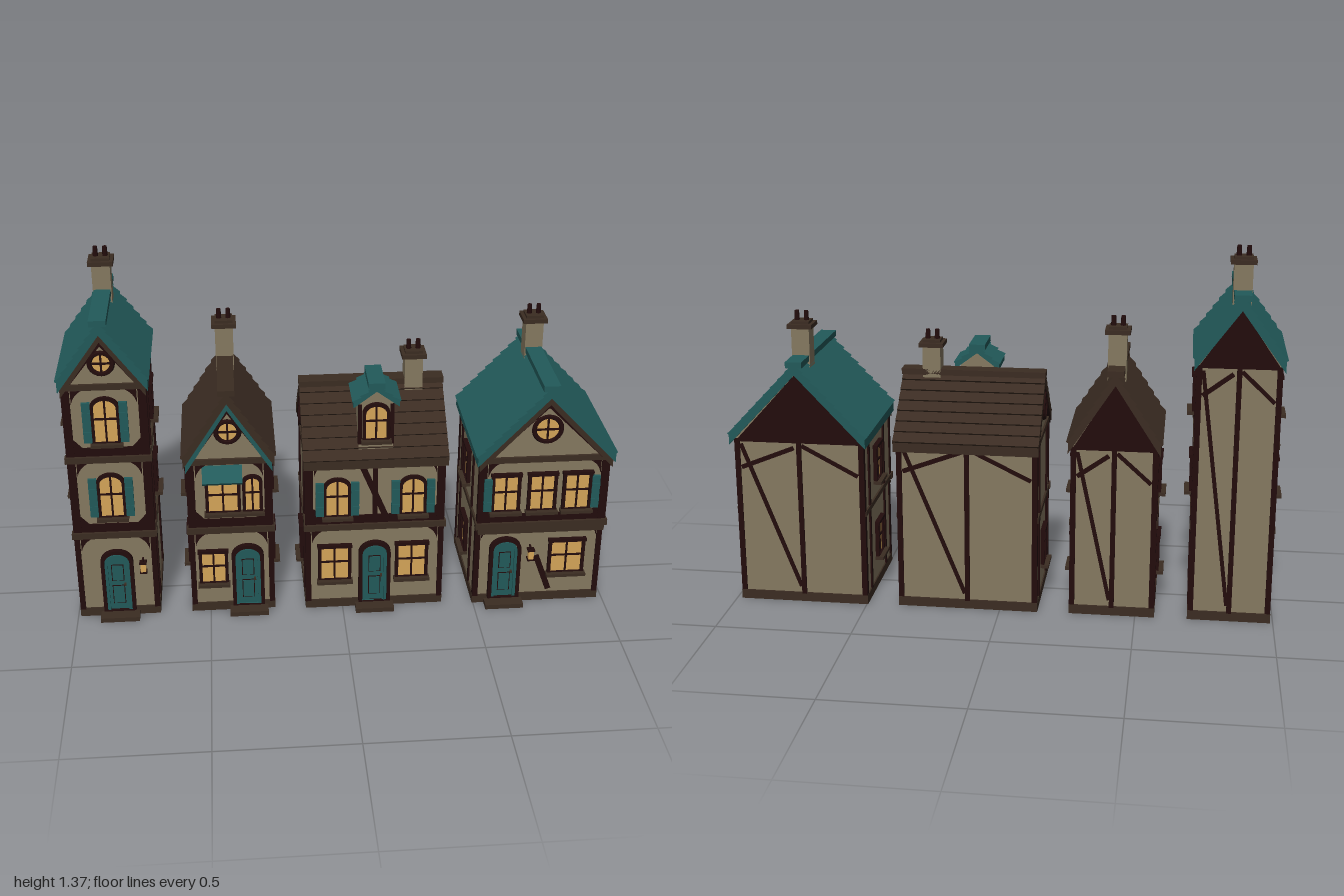
import * as THREE from 'three';

const mat = (name, color) => {
  const m = new THREE.MeshStandardMaterial({ color, flatShading: true });
  m.name = name;
  return m;
};
const plaster = mat('plaster', 0x857960), teal = mat('teal', 0x225a5a), brown = mat('brown', 0x3b2c22),
  dark = mat('dark timber', 0x220c0c), amber = mat('amber glass', 0xd4a558);

function add(parent, name, geo, m, x = 0, y = 0, z = 0) {
  const mesh = new THREE.Mesh(geo, m);
  mesh.name = name;
  mesh.position.set(x, y, z);
  parent.add(mesh);
  return mesh;
}
const box = (p, name, m, w, h, d, x, y, z) => add(p, name, new THREE.BoxGeometry(w, h, d), m, x, y, z);
const extrude = (shape, depth) => new THREE.ExtrudeGeometry(shape, { depth, bevelEnabled: false, curveSegments: 8 });
function group(parent, name, x = 0, y = 0, z = 0, ry = 0) {
  const g = new THREE.Group();
  g.name = name;
  g.position.set(x, y, z);
  g.rotation.y = ry;
  parent.add(g);
  return g;
}
// straight timber between two points of a wall plane
function beam(p, name, m, x1, y1, x2, y2, z, w = 0.016, d = 0.012) {
  const b = box(p, name, m, w, Math.hypot(x2 - x1, y2 - y1), d, (x1 + x2) / 2, (y1 + y2) / 2, z);
  b.rotation.z = -Math.atan2(x2 - x1, y2 - y1);
}
// opening outline standing on y = 0, with a flat or arched top
function outline(w, h, arched, Type = THREE.Shape, y0 = 0) {
  const s = new Type(), r = w / 2;
  s.moveTo(-r, y0);
  s.lineTo(r, y0);
  if (arched) {
    s.lineTo(r, h - r * 0.8);
    s.absellipse(0, h - r * 0.8, r, r * 0.8, 0, Math.PI, false);
  } else {
    s.lineTo(r, h);
    s.lineTo(-r, h);
  }
  s.lineTo(-r, y0);
  return s;
}
function ring(w, h, t, arched) {
  const s = outline(w + 2 * t, h + t, arched, THREE.Shape, -0.004);
  s.holes.push(outline(w, h, arched, THREE.Path));
  return s;
}

// window on a wall facing +z; shutters lists the sides (-1, 1) that carry one
function addWindow(p, x, y, z, w, h, arched = false, shutters = []) {
  const g = group(p, 'window', x, y, z);
  add(g, 'windowGlass', extrude(outline(w, h, arched), 0.005), amber);
  add(g, 'windowFrame', extrude(ring(w, h, 0.012, arched), 0.014), dark);
  box(g, 'mullion', dark, 0.007, h, 0.01, 0, h / 2, 0.004);
  box(g, 'transom', dark, w, 0.007, 0.01, 0, h * 0.55, 0.004);
  box(g, 'sill', brown, w + 0.035, 0.012, 0.035, 0, -0.008, 0.014);
  if (!arched) box(g, 'lintel', dark, w + 0.03, 0.012, 0.02, 0, h + 0.008, 0.008);
  for (const s of shutters) {
    box(g, 'shutter', teal, 0.03, h * 0.95, 0.012, s * (w / 2 + 0.025), h * 0.48, 0.01);
    for (const k of [0.25, 0.7]) box(g, 'shutterBatten', teal, 0.03, 0.01, 0.018, s * (w / 2 + 0.025), h * k, 0.01);
  }
}
function addRoundWindow(p, x, y, z, r) {
  const g = group(p, 'roundWindow', x, y, z);
  add(g, 'roundGlass', new THREE.CircleGeometry(r, 20), amber, 0, 0, 0.004);
  add(g, 'roundFrame', new THREE.TorusGeometry(r, 0.009, 6, 20), dark, 0, 0, 0.005);
  box(g, 'mullion', dark, 0.007, 2 * r, 0.008, 0, 0, 0.005);
  box(g, 'transom', dark, 2 * r, 0.007, 0.008, 0, 0, 0.005);
}
function addDoor(p, x, z) {
  const g = group(p, 'door', x, 0.03, z);
  add(g, 'doorSurround', extrude(ring(0.092, 0.245, 0.014, true), 0.02), dark);
  add(g, 'doorFrame', extrude(ring(0.07, 0.228, 0.011, true), 0.016), teal);
  add(g, 'doorLeaf', extrude(outline(0.07, 0.228, true), 0.008), teal);
  for (const [y, h] of [[0.065, 0.08], [0.16, 0.07]]) {
    box(g, 'panelRecess', dark, 0.046, h, 0.004, 0, y, 0.008);
    box(g, 'doorPanel', teal, 0.04, h - 0.006, 0.006, 0, y, 0.009);
  }
  box(g, 'doorKnob', brown, 0.008, 0.008, 0.012, 0.025, 0.11, 0.012);
  box(g, 'doorStep', brown, 0.145, 0.018, 0.06, 0, -0.021, 0.025);
}
function addLantern(p, x, y, z) {
  box(p, 'lanternGlass', amber, 0.02, 0.034, 0.02, x, y, z + 0.024);
  for (const s of [-1, 1]) box(p, 'lanternCap', dark, 0.027, 0.006, 0.027, x, y + s * 0.02, z + 0.024);
  box(p, 'lanternBracket', dark, 0.006, 0.006, 0.03, x, y + 0.026, z + 0.012);
}
// curved timber filling an upper (s = side) wall corner
function addBrace(p, x, y, z, s, size = 0.06) {
  const c = new THREE.Shape();
  c.moveTo(0, 0);
  c.lineTo(0, -size);
  c.quadraticCurveTo(0.2 * size, -0.2 * size, size, 0);
  const b = add(p, 'curvedBrace', extrude(c, 0.01), dark, x, y, z - 0.002);
  if (s > 0) {
    b.rotation.y = Math.PI;
    b.position.z = z + 0.008;
  }
}

// saw-stepped courses on top, straight underside
function roofShape(hw, yr, ye, t, n) {
  const len = Math.hypot(hw, yr - ye), lift = n > 1 ? 0.008 : 0;
  const nx = (yr - ye) / len * lift, ny = hw / len * lift, right = [];
  for (let i = 1; i <= n; i++) {
    const x = hw * i / n, y = yr + (ye - yr) * i / n;
    right.push([x + nx, y + ny], [x, y]);
  }
  right.push([hw, ye - t]);
  const left = right.map(([x, y]) => [-x, y]).reverse();
  const pts = [[0, yr], ...left.reverse(), [0, yr - t], ...right.reverse()];
  return new THREE.Shape(pts.map(([x, y]) => new THREE.Vector2(x, y)));
}
function addRoof(p, hw, yr, ye, t, length, n, m) {
  add(p, 'roofCourses', extrude(roofShape(hw, yr, ye, t, n), length), m, 0, 0, -length / 2);
  box(p, 'ridgeCap', m, 0.06, 0.022, length + 0.004, 0, yr + 0.002, 0);
}
function triangle(hw, y0, y1) {
  return new THREE.Shape([[-hw, y0], [hw, y0], [0, y1]].map(([x, y]) => new THREE.Vector2(x, y)));
}
function addChimney(p, x, z, y0, capY) {
  const g = group(p, 'chimney', x, 0, z);
  box(g, 'chimneyStack', plaster, 0.066, capY - y0, 0.066, 0, (capY + y0) / 2, 0);
  box(g, 'chimneyCap', brown, 0.09, 0.016, 0.09, 0, capY, 0);
  box(g, 'chimneyCrown', brown, 0.065, 0.012, 0.065, 0, capY + 0.012, 0);
  for (const s of [-1, 1]) add(g, 'chimneyPot', new THREE.CylinderGeometry(0.008, 0.01, 0.04, 8), dark, s * 0.017, capY + 0.033, 0);
}

function buildHouse(root, o) {
  const g = group(root, o.name, o.x, 0, o.z), { w, d, hw, yr, ye, t, jetty = 0 } = o;
  const half = (o.sideways ? d : w) / 2, slope = (yr - ye) / hw;
  const top = yr - t - slope * half, f = d / 2, fu = f + jetty;
  const levels = [0.03, ...o.belts, top];

  // walls, foundation and front timbers, storey by storey
  box(g, 'foundation', brown, w + 0.01, 0.035, d + 0.01, 0, 0.0175, 0);
  for (let i = 0; i + 1 < levels.length; i++) {
    const y0 = levels[i], y1 = levels[i + 1], h = y1 - y0, j = i ? jetty : 0, ym = (y0 + y1) / 2;
    box(g, 'storey', plaster, w, h, d + j, 0, ym, j / 2);
    for (const s of [-1, 1]) {
      const pw = i ? 0.03 : 0.02;
      box(g, 'frontCornerPost', dark, pw, h, 0.024, s * (w / 2 - pw / 2 + 0.004), ym, f + j - 0.006);
      box(g, 'backCornerPost', dark, 0.02, h, 0.024, s * (w / 2 - 0.006), ym, -f + 0.008);
      for (const z of [0.115, -0.135]) box(g, 'sidePost', dark, 0.012, h, 0.018, s * w / 2, ym, z);
      addBrace(g, s * (w / 2 - pw), y1 - 0.008, f + j, s);
      if (i) beam(g, 'footBrace', dark, s * (w / 2 - 0.02), y0 + 0.07, s * (w / 2 - 0.075), y0 + 0.01, f + j, 0.02, 0.01);
    }
    if (i) {
      box(g, 'floorBelt', brown, w + 0.014, 0.02, d + j + 0.008, 0, y0, j / 2 + 0.006);
      box(g, 'frontBelt', brown, w + 0.02, 0.024, 0.03, 0, y0, f + j);
      box(g, 'sillBand', dark, w, 0.035, 0.01, 0, y0 + 0.028, f + j);
    }
  }
  box(g, 'frontTopBeam', brown, w + 0.01, 0.022, 0.02, 0, top - 0.004, fu);

  // back framing
  box(g, 'backMiddlePost', dark, 0.018, top - 0.03, 0.012, 0, top / 2 + 0.015, -f);
  beam(g, 'backBrace', dark, w / 2 - 0.02, top - 0.02, 0.01, 0.06, -f, 0.014);
  beam(g, 'backBrace', dark, w / 2 - 0.02, top - 0.11, 0.02, top - 0.03, -f, 0.016);
  beam(g, 'backBrace', dark, -w / 2 + 0.02, top - 0.13, -0.01, top - 0.02, -f, 0.014);

  // roof and gables
  const r = group(g, 'roof', 0, 0, 0, o.sideways ? Math.PI / 2 : 0);
  const wallLen = o.sideways ? w : d + jetty, zc = jetty / 2;
  add(r, 'gable', extrude(triangle(half, top, yr - t), wallLen), plaster, 0, 0, o.sideways ? -w / 2 : -f);
  const courses = group(r, 'roofCovering', 0, 0, o.sideways ? 0 : o.roofShift || 0);
  addRoof(courses, hw, yr, ye, t, o.roofLen, o.courses, o.roofMat);
  if (o.sideways) {
    for (const a of [0, Math.PI]) {
      const e = group(r, 'sideGable', 0, 0, 0, a);
      addRoundWindow(e, 0, 0.735, w / 2, 0.045);
      add(e, 'bargeBoard', extrude(roofShape(half, yr - t, yr - t - slope * half, 0.03, 1), 0.008), dark, 0, 0, w / 2);
      box(e, 'gableBeam', brown, d, 0.02, 0.014, 0, top, w / 2);
    }
  } else {
    add(r, 'backGable', extrude(triangle(half, top - 0.01, yr - t), 0.008), dark, 0, 0, -f - 0.006);
    const zEnd = o.roofLen / 2 + (o.roofShift || 0);
    add(r, 'bargeBoard', extrude(roofShape(hw - 0.008, yr - t + 0.008, ye - t + 0.015, 0.036, 1), 0.014), o.bargeMat, 0, 0, zEnd - 0.018);
    add(r, 'gableTrim', extrude(roofShape(half, yr - t - 0.025, top - 0.01, 0.022, 1), 0.01), dark, 0, 0, fu);
    addRoundWindow(r, 0, o.round[0], fu, o.round[1]);
  }
  addChimney(g, ...o.chimney);

  // openings
  addDoor(g, o.door, f);
  for (const [x, y, ww, h, arched, shutters] of o.windows) addWindow(g, x, y, y > 0.35 ? fu : f, ww, h, arched, shutters);
  for (const s of [-1, 1]) {
    const side = group(g, 'sideWindows', s * w / 2, 0, 0, s * Math.PI / 2);
    for (const y of o.sideY) addWindow(side, 0, y, 0, 0.075, 0.125);
  }
  if (o.lantern !== undefined) addLantern(g, o.lantern, 0.22, f);
  return g;
}

export function createModel() {
  const root = new THREE.Group();
  root.name = 'houseRow';

  buildHouse(root, {
    name: 'tallHouse', x: -0.84, z: -0.02, w: 0.29, d: 0.39, hw: 0.157, yr: 1.2, ye: 0.985, t: 0.042,
    belts: [0.355, 0.67], roofLen: 0.44, courses: 7, roofMat: teal, bargeMat: brown, round: [1.045, 0.04],
    chimney: [0, -0.1, 1.08, 1.312], door: 0, lantern: 0.097, sideY: [0.445, 0.75],
    windows: [[0, 0.435, 0.08, 0.165, true, [-1, 1]], [0, 0.74, 0.08, 0.165, true, [-1, 1]]],
  });

  const narrow = buildHouse(root, {
    name: 'narrowHouse', x: -0.413, z: -0.022, w: 0.305, d: 0.39, hw: 0.165, yr: 0.92, ye: 0.665, t: 0.04,
    belts: [0.355], roofLen: 0.445, courses: 7, roofMat: brown, bargeMat: teal, round: [0.76, 0.042],
    chimney: [0, -0.108, 0.8, 1.055], door: 0.058, sideY: [0.125, 0.435],
    windows: [[-0.07, 0.13, 0.085, 0.125], [-0.025, 0.435, 0.105, 0.125], [0.083, 0.435, 0.05, 0.135, true]],
  });
  // sloping canopy over the upper window
  const canopy = box(narrow, 'canopy', teal, 0.145, 0.012, 0.075, -0.025, 0.597, 0.222);
  canopy.rotation.x = 0.6;

  const wide = buildHouse(root, {
    name: 'wideHouse', x: 0.12, z: -0.018, w: 0.51, d: 0.41, hw: 0.237, yr: 0.855, ye: 0.645, t: 0.035,
    sideways: true, belts: [0.355], roofLen: 0.53, courses: 7, roofMat: brown,
    chimney: [0.155, 0.003, 0.78, 0.96], door: 0, sideY: [0.125],
    windows: [[-0.15, 0.13, 0.1, 0.135], [0.14, 0.13, 0.1, 0.135],
      [-0.14, 0.405, 0.08, 0.145, true, [-1, 1]], [0.14, 0.405, 0.08, 0.145, true, [-1, 1]]],
  });
  beam(wide, 'frontBrace', dark, -0.05, 0.61, 0.045, 0.38, 0.206, 0.022);
  box(wide, 'frontMiddlePost', dark, 0.018, 0.25, 0.012, 0, 0.49, 0.205);
  // dormer
  const dormer = group(wide, 'dormer', 0, 0, 0.06);
  box(dormer, 'dormerWalls', plaster, 0.125, 0.19, 0.145, 0, 0.765, 0.0725);
  add(dormer, 'dormerGable', extrude(triangle(0.0625, 0.86, 0.91), 0.145), plaster);
  for (const s of [-1, 1]) box(dormer, 'dormerPost', dark, 0.014, 0.16, 0.014, s * 0.058, 0.775, 0.142);
  addWindow(dormer, 0, 0.72, 0.145, 0.075, 0.13, true);
  addRoof(group(dormer, 'dormerRoof', 0, 0, 0.083), 0.083, 0.93, 0.868, 0.02, 0.155, 3, teal);

  const corner = buildHouse(root, {
    name: 'cornerHouse', x: 0.738, z: -0.015, w: 0.475, d: 0.435, hw: 0.253, yr: 0.92, ye: 0.652, t: 0.036, jetty: 0.022,
    belts: [0.355], roofLen: 0.515, roofShift: 0.012, courses: 9, roofMat: teal, bargeMat: brown, round: [0.75, 0.05],
    chimney: [0, -0.105, 0.8, 1.04], door: -0.125, lantern: -0.03, sideY: [0.125, 0.43],
    windows: [[0.11, 0.13, 0.115, 0.13], [-0.14, 0.42, 0.085, 0.14, false, [-1]], [-0.005, 0.42, 0.085, 0.14], [0.125, 0.42, 0.085, 0.14, false, [1]]],
  });
  beam(corner, 'frontBrace', dark, -0.005, 0.2, 0.05, 0.05, 0.218, 0.022);
  box(corner, 'jettyBeam', brown, 0.475, 0.026, 0.05, 0, 0.334, 0.228);
  return root;
}
